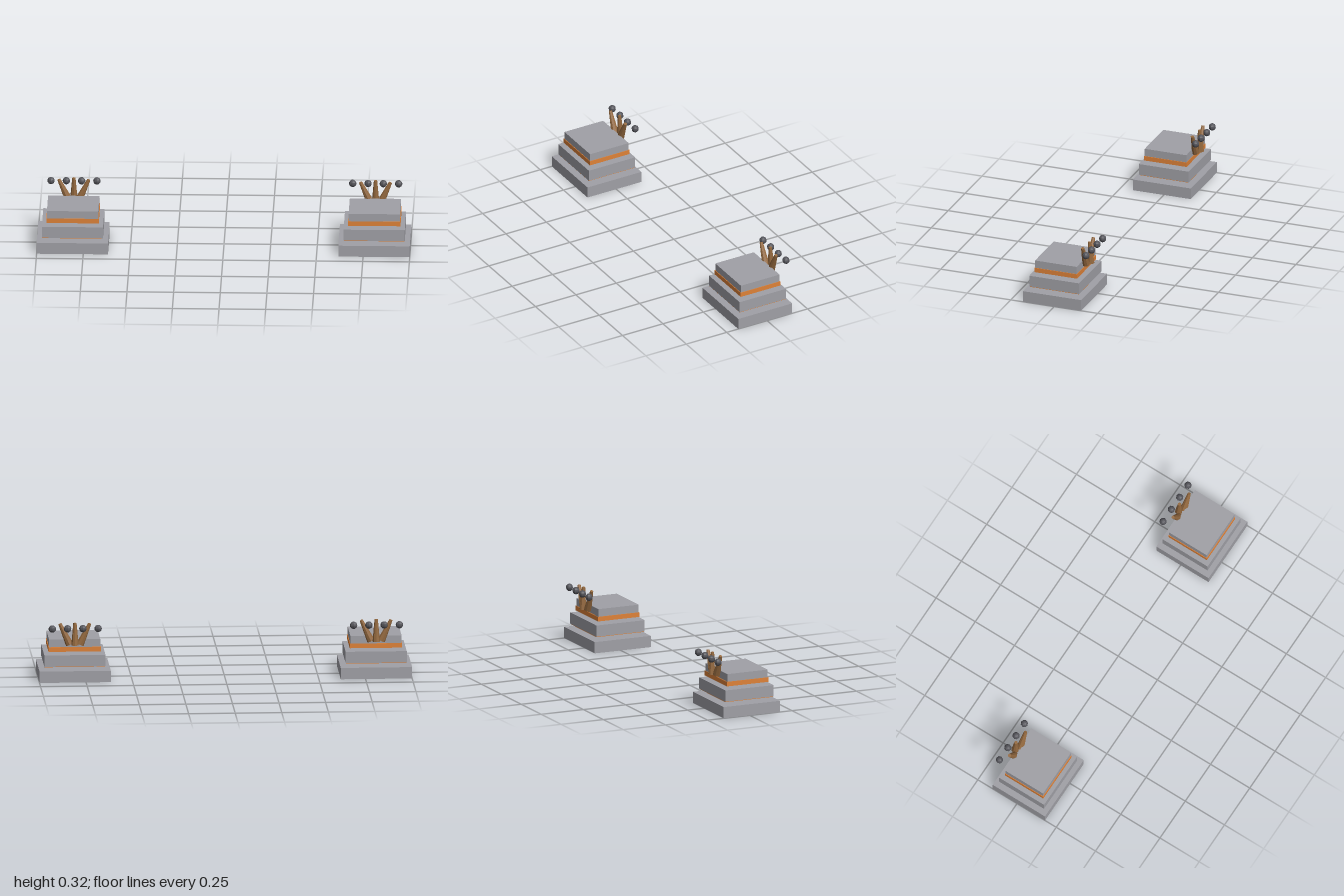
import * as THREE from 'three';

const mat = (color) => new THREE.MeshStandardMaterial({ color, flatShading: true });

export function createModel() {
  const stone = mat(0xa0a0a6), orange = mat(0xde8238), wood = mat(0x94693f), iron = mat(0x55555b);

  const add = (group, name, geometry, material, x, y, z) => {
    const mesh = new THREE.Mesh(geometry, material);
    mesh.name = name;
    mesh.position.set(x, y, z);
    group.add(mesh);
    return mesh;
  };

  // Slab given by its width, its y range and its z range
  const slab = (group, name, material, w, y0, y1, z0, z1) =>
    add(group, name, new THREE.BoxGeometry(w, y1 - y0, z1 - z0), material, 0, (y0 + y1) / 2, (z0 + z1) / 2);

  // Tapered peg running between two points
  const peg = (group, name, from, to, rBottom, rTop) => {
    const a = new THREE.Vector3(...from), b = new THREE.Vector3(...to);
    const axis = b.clone().sub(a);
    const mid = a.clone().add(b).multiplyScalar(0.5);
    const mesh = add(group, name, new THREE.CylinderGeometry(rTop, rBottom, axis.length(), 8), wood, mid.x, mid.y, mid.z);
    mesh.quaternion.setFromUnitVectors(new THREE.Vector3(0, 1, 0), axis.normalize());
  };

  const pedestal = (name, x) => {
    const g = new THREE.Group();
    g.name = name;
    g.position.x = x;

    // Stepped slabs, separated by narrow gaps
    slab(g, 'lowerStep', stone, 0.383, 0, 0.062, -0.155, 0.178);
    slab(g, 'middleStep', stone, 0.328, 0.083, 0.145, -0.132, 0.154);
    slab(g, 'topStep', stone, 0.275, 0.185, 0.227, -0.108, 0.131);

    // Orange bands under the middle and top steps
    slab(g, 'lowerBand', orange, 0.324, 0.08, 0.1, -0.13, 0.152);
    slab(g, 'upperBand', orange, 0.281, 0.16, 0.185, -0.111, 0.134);

    // Fan of three pegs at the back
    peg(g, 'middlePeg', [0, 0.2, -0.136], [0, 0.321, -0.13], 0.02, 0.009);
    for (const s of [-1, 1])
      peg(g, 'sidePeg', [s * 0.028, 0.202, -0.119], [s * 0.08, 0.315, -0.12], 0.021, 0.009);

    // Row of small balls behind the pegs
    for (let i = 0; i < 4; i++)
      add(g, 'ball', new THREE.SphereGeometry(0.02, 8, 8), iron, (i - 1.5) * 0.082, 0.295, -0.156);
    return g;
  };

  const model = new THREE.Group();
  model.name = 'pedestalPair';
  model.add(pedestal('rightPedestal', -0.8085), pedestal('leftPedestal', 0.8085));
  return model;
}
